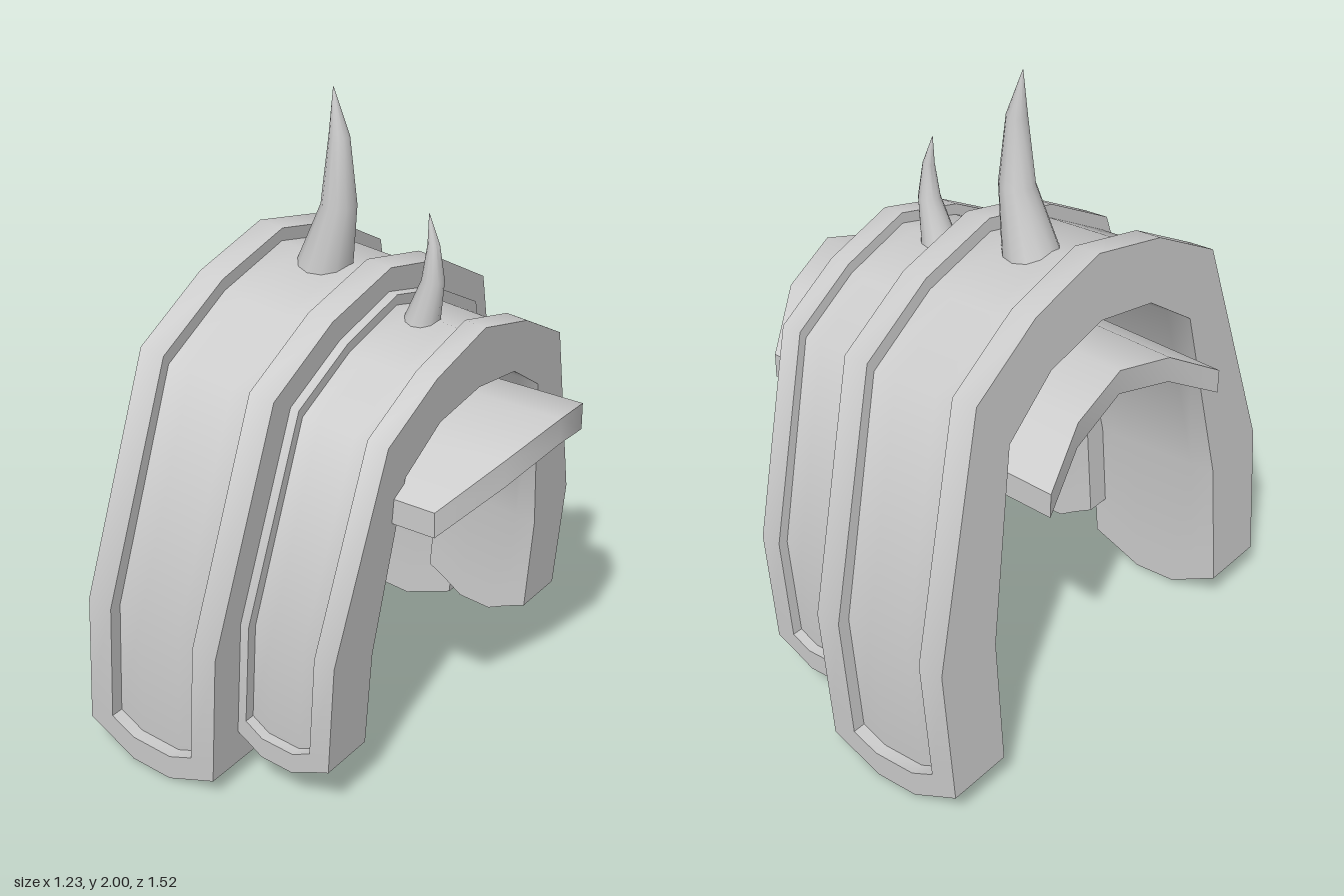
import * as THREE from 'three';
import { toCreasedNormals } from 'three/addons/utils/BufferGeometryUtils.js';

const lerp = THREE.MathUtils.lerp;

// Skin a row of closed loops; both ends are closed with strips
function loft(rings, crease = 0.9) {
  const tris = [], n = rings[0].length;
  const add = (a, b, c) => {
    const area = b.clone().sub(a).cross(c.clone().sub(a)).length();
    if (area > 1e-7) tris.push([a, b, c]);
  };
  const quad = (a, b, c, d) => { add(a, b, c); add(a, c, d); };
  for (let i = 0; i + 1 < rings.length; i++)
    for (let k = 0; k < n; k++) {
      const m = (k + 1) % n;
      quad(rings[i][k], rings[i][m], rings[i + 1][m], rings[i + 1][k]);
    }
  const first = rings[0], last = rings[rings.length - 1];
  for (let k = 0; k < n / 2 - 1; k++) {
    quad(first[k], first[n - 1 - k], first[n - 2 - k], first[k + 1]);
    quad(last[k], last[k + 1], last[n - 2 - k], last[n - 1 - k]);
  }
  // Turn all faces outward
  let volume = 0;
  for (const [a, b, c] of tris) volume += a.dot(b.clone().cross(c));
  const pos = [];
  for (const [a, b, c] of tris)
    for (const p of volume < 0 ? [a, c, b] : [a, b, c]) pos.push(p.x, p.y, p.z);
  const geo = new THREE.BufferGeometry();
  geo.setAttribute('position', new THREE.Float32BufferAttribute(pos, 3));
  return toCreasedNormals(geo, crease);
}

// Point on a [z, y] outline at height y of its straight leg
const legZ = (line, y) => lerp(line[0][0], line[1][0], (y - line[0][1]) / (line[1][1] - line[0][1]));

// Arched plate with a recessed panel inside a raised rim.
// outer / inner: half outlines [z, y] from foot to crown
function archPlate({ x0, x1, rim, recess, foot, drop, outer, inner }) {
  const w = x1 - x0;
  // columns across the width: [x, is panel, foot height]
  const cols = [
    [0, 0, foot], [rim, 0, foot - drop * 0.5], [rim, 1, foot - drop * 0.5],
    [w * 0.35, 1, foot - drop], [w * 0.65, 1, foot - drop],
    [w - rim, 1, foot - drop * 0.5], [w - rim, 0, foot - drop * 0.5], [w, 0, foot],
  ];
  const ring = (side, place, inPanel) => {
    const outs = [], ins = [];
    for (const [x, panel, base] of cols) {
      const [o, i] = place(base);
      const thick = Math.hypot(o[0] - i[0], o[1] - i[1]);
      const t = inPanel && panel ? recess / thick : 0;
      outs.push(new THREE.Vector3(x0 + x, lerp(o[1], i[1], t), side * lerp(o[0], i[0], t)));
      ins.push(new THREE.Vector3(x0 + x, i[1], side * i[0]));
    }
    return outs.concat(ins.reverse());
  };
  const footRing = (side, lift, inPanel) => ring(side, base => {
    const y = base + lift;
    return [[legZ(outer, y), y], [legZ(inner, y), y]];
  }, inPanel);
  const half = side => [
    footRing(side, 0, false), footRing(side, rim, false), footRing(side, rim, true),
    ...outer.slice(1).map((o, k) => ring(side, () => [o, inner[k + 1]], true)),
  ];
  const back = half(-1).reverse();
  return loft([...half(1), ...back.slice(1)]);
}

// Curved spike from rings [x, y, radius]
function spike(path) {
  const sides = 12;
  return loft(path.map(([x, y, r]) => Array.from({ length: sides }, (_, k) => {
    const a = (k / sides) * Math.PI * 2;
    return new THREE.Vector3(x + r * Math.cos(a), y, r * Math.sin(a));
  })));
}

export function createModel() {
  const group = new THREE.Group();
  const material = new THREE.MeshStandardMaterial({ color: 0xcccccc });
  const add = (name, geo, tilt = 0) => {
    const mesh = new THREE.Mesh(geo, material);
    mesh.name = name;
    mesh.rotation.z = tilt;
    group.add(mesh);
  };
  const tilt = -0.086;

  // Large plate
  add('largePlate', archPlate({
    x0: -0.588, x1: -0.107, rim: 0.085, recess: 0.042, foot: 0.06, drop: 0.08,
    outer: [[0.75, 0], [0.762, 0.51], [0.54, 1.27], [0.28, 1.42], [0, 1.49]],
    inner: [[0.535, 0], [0.535, 0.48], [0.42, 1.09], [0.23, 1.23], [0, 1.28]],
  }), tilt);

  // Small plate, tucked under the rim of the large one
  add('smallPlate', archPlate({
    x0: -0.148, x1: 0.227, rim: 0.07, recess: 0.034, foot: 0.2, drop: 0.07,
    outer: [[0.638, 0.13], [0.648, 0.58], [0.46, 1.22], [0.24, 1.345], [0, 1.413]],
    inner: [[0.455, 0.13], [0.455, 0.525], [0.36, 1.08], [0.2, 1.19], [0, 1.22]],
  }), tilt);

  // Arched strap under both plates: [z, top, bottom, left end, right end]
  const strap = [
    [0.41, 1.01, 0.93, -0.615, 0.45], [0.225, 1.125, 1.04, -0.56, 0.56],
    [0.01, 1.18, 1.1, -0.54, 0.61],
    [-0.205, 1.125, 1.04, -0.56, 0.56], [-0.39, 1.01, 0.93, -0.615, 0.45],
  ];
  add('strap', loft(strap.map(([z, top, bottom, l, r]) =>
    [[l, top], [r, top], [r, bottom], [l, bottom]].map(([x, y]) => new THREE.Vector3(x, y, z)))));

  // Spikes on the crowns
  add('largeSpike', spike([[-0.225, 1.43, 0.09], [-0.215, 1.465, 0.084],
    [-0.163, 1.65, 0.054], [-0.159, 1.86, 0.031], [-0.178, 2, 0.001]]));
  add('smallSpike', spike([[0.125, 1.34, 0.06], [0.133, 1.37, 0.053],
    [0.167, 1.49, 0.034], [0.168, 1.6, 0.018], [0.152, 1.69, 0.001]]));

  return group;
}
